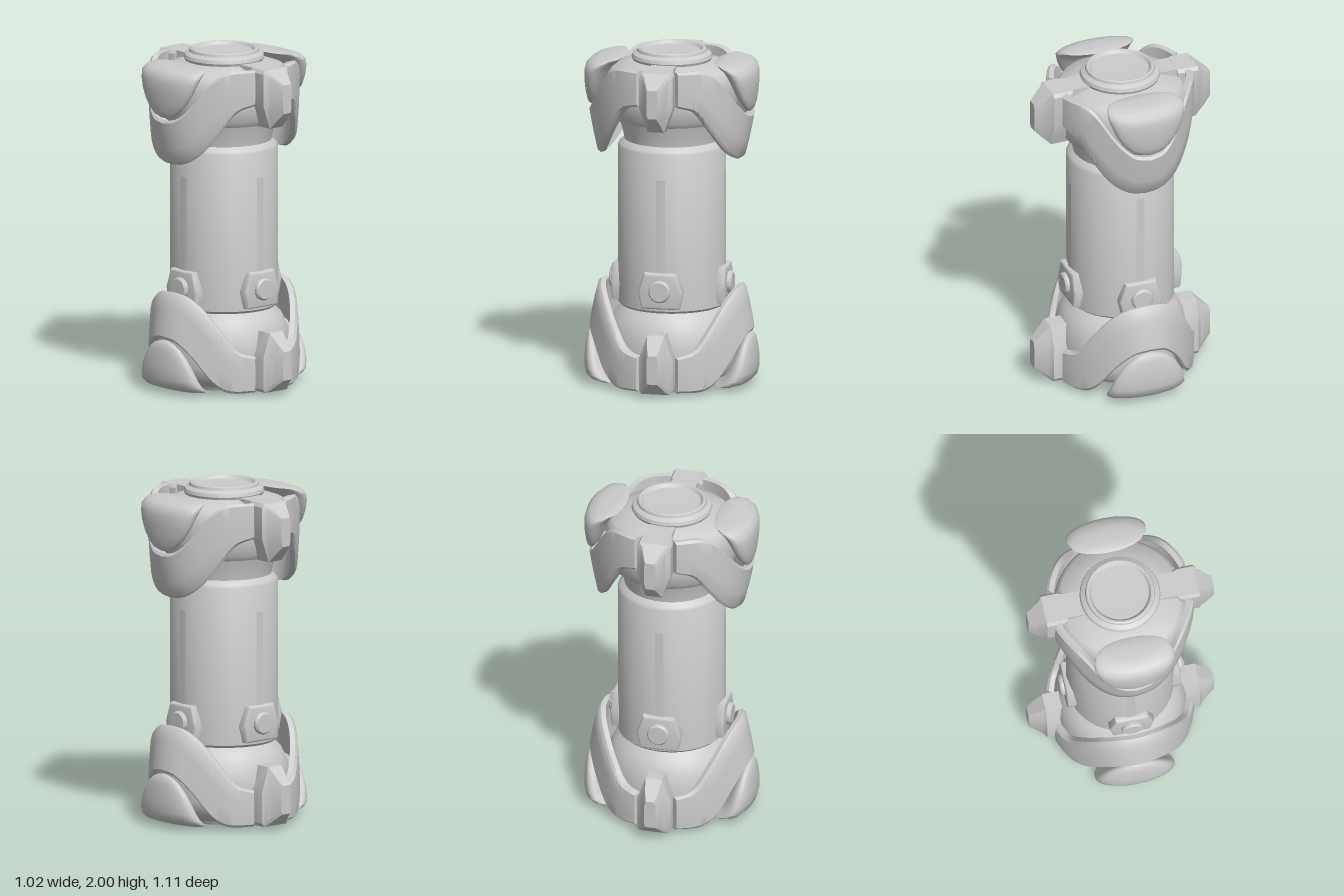
import * as THREE from 'three';
import { toCreasedNormals } from 'three/addons/utils/BufferGeometryUtils.js';

const material = new THREE.MeshStandardMaterial({ color: 0xcccccc });

function part(name, geometry, crease = 0.6) {
  const mesh = new THREE.Mesh(toCreasedNormals(geometry, crease), material);
  mesh.name = name;
  return mesh;
}

function lathe(name, profile, crease = 0.6) {
  return part(name, new THREE.LatheGeometry(profile.map(([r, y]) => new THREE.Vector2(r, y)), 56), crease);
}

// Skins a list of equal-length closed loops of [x, y, z] and caps both ends.
function loft(loops) {
  const n = loops[0].length;
  const last = (loops.length - 1) * n;
  const pos = loops.flat(2);
  const index = [];
  for (let i = 0; i < loops.length - 1; i++) {
    for (let j = 0; j < n; j++) {
      const a = i * n + j, b = i * n + (j + 1) % n;
      index.push(a, b, b + n, a, b + n, a + n);
    }
  }
  for (const [start, flip] of [[0, true], [last, false]]) {
    const center = pos.length / 3;
    for (let k = 0; k < 3; k++) {
      let sum = 0;
      for (let j = 0; j < n; j++) sum += pos[(start + j) * 3 + k];
      pos.push(sum / n);
    }
    for (let j = 0; j < n; j++) {
      const a = start + j, b = start + (j + 1) % n;
      if (flip) index.push(center, b, a);
      else index.push(center, a, b);
    }
  }
  // Turn the faces outward if the enclosed volume is negative
  let volume = 0;
  const p = (i) => new THREE.Vector3().fromArray(pos, i * 3);
  for (let i = 0; i < index.length; i += 3) {
    volume += p(index[i]).dot(p(index[i + 1]).cross(p(index[i + 2])));
  }
  if (volume < 0) index.reverse();
  const g = new THREE.BufferGeometry();
  g.setAttribute('position', new THREE.Float32BufferAttribute(pos, 3));
  g.setIndex(index);
  return g;
}

// Smooth curve through [input, value] pairs
function curve(pairs, x) {
  let i = 0;
  while (i < pairs.length - 2 && x > pairs[i + 1][0]) i++;
  const slope = (k) => {
    const a = pairs[Math.max(k - 1, 0)], b = pairs[Math.min(k + 1, pairs.length - 1)];
    return (b[1] - a[1]) / (b[0] - a[0]);
  };
  const [x0, y0] = pairs[i], [x1, y1] = pairs[i + 1];
  const h = x1 - x0, t = (x - x0) / h, t2 = t * t, t3 = t2 * t;
  return y0 * (2 * t3 - 3 * t2 + 1) + slope(i) * h * (t3 - 2 * t2 + t)
    + y1 * (3 * t2 - 2 * t3) + slope(i + 1) * h * (t3 - t2);
}

// Curved guard sweeping around one side, dipping in the middle
function guardGeometry() {
  const low = [[0, 1.36], [15, 1.375], [30, 1.44], [45, 1.56], [60, 1.69], [76, 1.73]];
  const high = [[0, 1.63], [12, 1.65], [25, 1.74], [40, 1.88], [52, 1.935], [76, 1.94]];
  const section = [[-0.045, 0.03], [-0.015, 0], [0, 0.05], [0.003, 0.35], [0.003, 0.65],
    [0, 0.94], [-0.015, 1], [-0.045, 0.98]];
  const loops = [];
  const steps = 44;
  for (let i = 0; i <= steps; i++) {
    const t = i / steps * 2 - 1;
    const deg = Math.abs(t) * 76;
    const y0 = curve(low, deg), y1 = curve(high, deg);
    const flare = 0.06 * Math.cos(deg * Math.PI / 180) ** 6;
    loops.push(section.map(([dr, v]) => {
      const r = 0.43 + dr + flare * v;
      const a = t * THREE.MathUtils.degToRad(dr < -0.03 ? 76.5 : dr < 0 ? 74.5 : 73);
      return [r * Math.cos(a), y0 + (y1 - y0) * v, r * Math.sin(a)];
    }));
  }
  return loft(loops);
}

// Rounded pod: ellipse sections of [y, inner x, outer x, half depth]
function podGeometry() {
  const sections = [[1.645, 0.455, 0.475, 0.03], [1.66, 0.445, 0.488, 0.08], [1.69, 0.425, 0.497, 0.125],
    [1.74, 0.4, 0.504, 0.17], [1.8, 0.375, 0.509, 0.205], [1.86, 0.345, 0.51, 0.227],
    [1.9, 0.32, 0.5, 0.238], [1.925, 0.29, 0.475, 0.235], [1.94, 0.27, 0.43, 0.215], [1.945, 0.28, 0.39, 0.17]];
  return loft(sections.map(([y, a, b, d]) => Array.from({ length: 28 }, (_, j) => {
    const t = j / 28 * Math.PI * 2;
    return [(a + b) / 2 + (b - a) / 2 * Math.cos(t), y, d * Math.sin(t)];
  })));
}

// Keeled nose: sections of [z, half width, half width at foot, top, shoulder, foot]
function noseGeometry() {
  const sections = [[0.33, 0.09, 0.045, 1.94, 1.74, 1.6], [0.36, 0.1, 0.05, 1.94, 1.73, 1.59],
    [0.455, 0.1, 0.05, 1.94, 1.73, 1.59], [0.475, 0.075, 0.045, 1.925, 1.72, 1.61],
    [0.51, 0.058, 0.04, 1.895, 1.715, 1.645], [0.553, 0.034, 0.025, 1.86, 1.72, 1.69]];
  return loft(sections.map(([z, w, f, top, mid, foot]) => {
    const side = [[w * 0.85, top], [w, top - 0.02], [w, mid], [f, foot]];
    return [...side, ...side.map(([x, y]) => [-x, y]).reverse()].map(([x, y]) => [x, y, z]);
  }));
}

// Armour of one end: guards, pods, noses and the arms joining them to the ring
function endArmour(name) {
  const group = new THREE.Group();
  group.name = name;
  for (let i = 0; i < 2; i++) {
    const half = new THREE.Group();
    half.name = 'armourHalf';
    const arm = part('arm', new THREE.BoxGeometry(0.15, 0.09, 0.2));
    arm.position.set(0, 1.894, 0.26);
    half.add(part('sideGuard', guardGeometry(), 0.7), part('sidePod', podGeometry(), 0.9),
      part('nose', noseGeometry(), 0.45), arm);
    half.rotation.y = i * Math.PI;
    group.add(half);
  }
  return group;
}

// Bolt plate with button, and the thin raised strip above it
function boltPlate() {
  const group = new THREE.Group();
  group.name = 'boltPlate';
  const outline = [[-0.1, 0.515], [0.1, 0.515], [0.118, 0.6], [0.085, 0.7], [-0.085, 0.7], [-0.118, 0.6]];
  const shape = new THREE.Shape(outline.map(([x, y]) => new THREE.Vector2(x, y)));
  const plate = part('plate', new THREE.ExtrudeGeometry(shape,
    { depth: 0.05, bevelThickness: 0.018, bevelSize: 0.015, bevelSegments: 3 }));
  plate.position.z = 0.272;
  const button = lathe('button', [[0.065, 0], [0.065, 0.025], [0.056, 0.035], [0, 0.036]]);
  button.rotation.x = Math.PI / 2;
  button.position.set(0, 0.61, 0.33);
  const strip = part('strip', new THREE.CylinderGeometry(0.319, 0.319, 0.57, 6, 1, true, -0.08, 0.16));
  strip.position.y = 0.985;
  group.add(plate, button, strip);
  return group;
}

export function createModel() {
  const model = new THREE.Group();
  model.name = 'canister';

  // Turned core
  model.add(
    lathe('body', [[0.2, 0.47], [0.3, 0.47], [0.315, 0.485], [0.315, 1.42], [0.307, 1.436], [0.278, 1.46],
      [0.285, 1.5], [0.305, 1.57], [0.32, 1.62]]),
    lathe('topCap', [[0.3, 1.59], [0.35, 1.59], [0.372, 1.62], [0.385, 1.7], [0.388, 1.8], [0.375, 1.86],
      [0.35, 1.89], [0.23, 1.93], [0, 1.93]]),
    lathe('topRing', [[0.225, 1.92], [0.236, 1.945], [0.23, 1.965], [0.214, 1.975], [0.204, 1.98], [0.2, 1.995],
      [0.192, 2], [0.182, 1.998], [0.168, 1.98], [0, 1.976]], 0.7),
    lathe('bottomCap', [[0, 0.04], [0.185, 0.035], [0.21, 0], [0.235, 0], [0.245, 0.02], [0.35, 0.07],
      [0.375, 0.1], [0.388, 0.16], [0.385, 0.27], [0.368, 0.35], [0.335, 0.42], [0.285, 0.468], [0.2, 0.475]]),
  );

  // Armour at both ends; the lower set is turned upside down
  const lower = endArmour('lowerArmour');
  lower.rotation.x = Math.PI;
  lower.position.y = 1.96;
  model.add(endArmour('upperArmour'), lower);

  // Bolt plates around the foot of the body
  for (let i = 0; i < 4; i++) {
    const bolt = boltPlate();
    bolt.rotation.y = i * Math.PI / 2;
    model.add(bolt);
  }
  return model;
}
